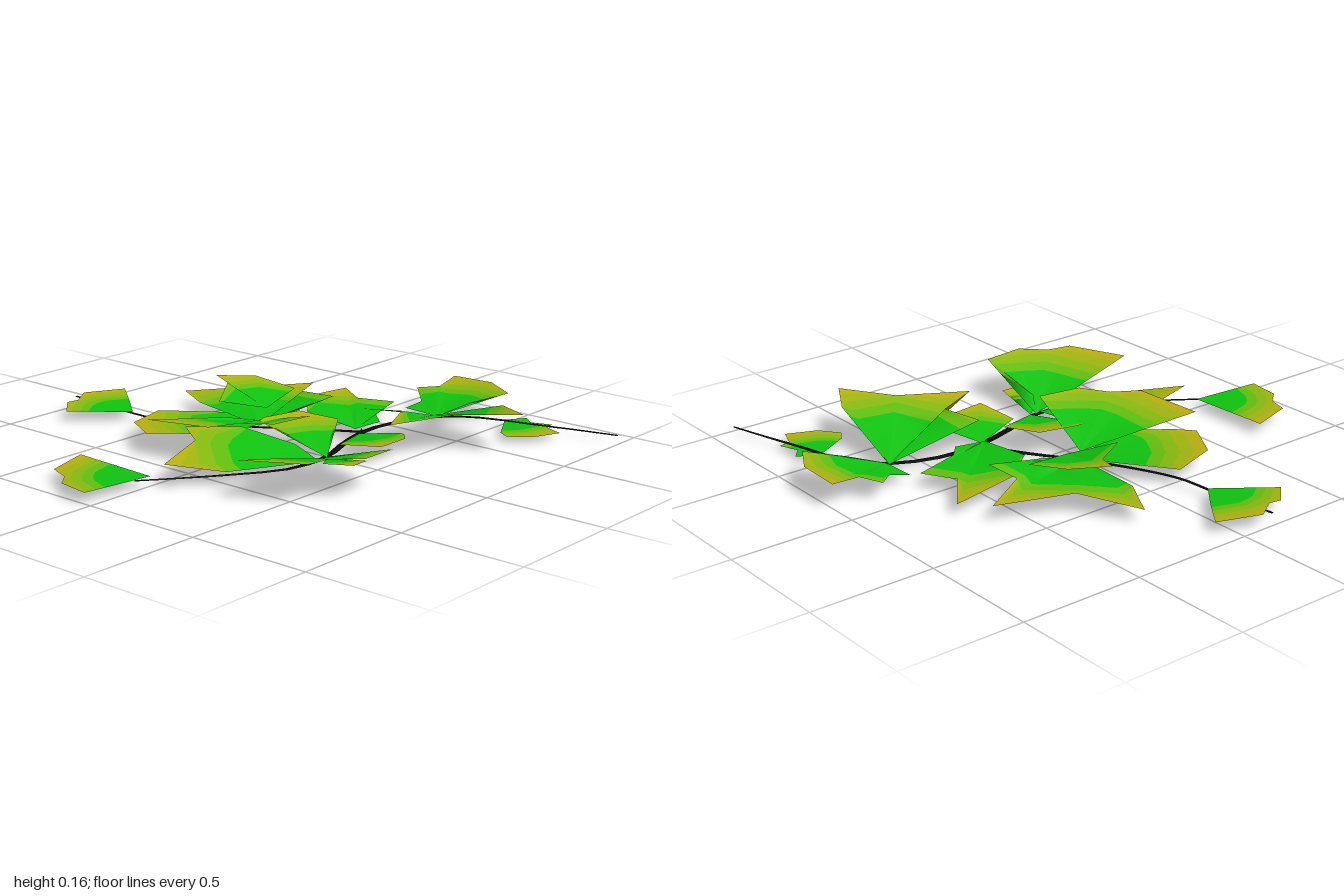
import * as THREE from 'three';

// Leaf colours run from green near the stem to yellow at the far tips
const BANDS = [0, 0.56, 0.67, 0.78, 0.89, 1];
const leafMaterials = BANDS.slice(1).map((_, i) => {
  const color = new THREE.Color(0x10c410).lerp(new THREE.Color(0xb8b010), i / (BANDS.length - 2));
  return new THREE.MeshStandardMaterial({ color, side: THREE.DoubleSide });
});
const vineMaterial = new THREE.MeshStandardMaterial({ color: 0x0c0c0c, side: THREE.DoubleSide });

function surface(positions, index, material, name) {
  const geometry = new THREE.BufferGeometry();
  geometry.setAttribute('position', new THREE.Float32BufferAttribute(positions, 3));
  geometry.setIndex(index);
  geometry.computeVertexNormals();
  const mesh = new THREE.Mesh(geometry, material);
  mesh.name = name;
  return mesh;
}

// A leaf fans out from its stem point to an outline of [x, y, z] corners;
// the colour bands lie at equal distances from the stem
function leaf(name, stem, outline) {
  const group = new THREE.Group();
  group.name = name;
  const base = new THREE.Vector3(...stem);
  let rim = outline.map((p) => new THREE.Vector3(...p));
  const reach = Math.max(...rim.map((p) => p.distanceTo(base)));
  let turn = 0;
  for (let i = 0; i + 1 < rim.length; i++) {
    const a = rim[i].clone().sub(base), b = rim[i + 1].clone().sub(base);
    turn += a.cross(b).y;
  }
  if (turn < 0) rim = rim.reverse();
  leafMaterials.forEach((material, k) => {
    const positions = [], index = [];
    rim.forEach((corner, i) => {
      for (const band of [BANDS[k], BANDS[k + 1]]) {
        const t = Math.min(1, band * reach / corner.distanceTo(base));
        positions.push(...base.clone().lerp(corner, t).toArray());
      }
      if (i + 1 < rim.length) {
        const a = 2 * i;
        index.push(a + 1, a + 3, a + 2);
        if (k > 0) index.push(a, a + 1, a + 2);
      }
    });
    group.add(surface(positions, index, material, 'leafBand'));
  });
  return group;
}

// A flat, tapering, three-sided vine swept along a curve
function vine(name, points, width) {
  const curve = new THREE.CatmullRomCurve3(points.map((p) => new THREE.Vector3(...p)));
  const steps = 24, positions = [], index = [];
  for (let i = 0; i <= steps; i++) {
    const u = i / steps, p = curve.getPointAt(u), t = curve.getTangentAt(u);
    const side = new THREE.Vector3(-t.z, 0, t.x).normalize().multiplyScalar(width(u));
    positions.push(p.x + side.x, p.y, p.z + side.z, p.x - side.x, p.y, p.z - side.z, p.x, p.y - 0.004, p.z);
    if (i < steps) {
      for (let j = 0; j < 3; j++) {
        const a = 3 * i + j, b = 3 * i + (j + 1) % 3;
        index.push(a, b, a + 3, b, b + 3, a + 3);
      }
    }
  }
  return surface(positions, index, vineMaterial, name);
}

export function createModel() {
  const model = new THREE.Group();
  model.name = 'creepingVine';

  // Vines and the little stem foot
  model.add(vine('mainVine', [
    [0.98, 0.027, -0.91], [0.79, 0.027, -0.86], [0.62, 0.027, -0.81], [0.48, 0.027, -0.775], [0.36, 0.027, -0.72],
    [0.27, 0.027, -0.62], [0.21, 0.027, -0.46], [0.2, 0.028, -0.3], [0.25, 0.028, -0.1], [0.31, 0.028, 0.08],
    [0.3, 0.028, 0.28], [0.2, 0.028, 0.45], [0.06, 0.03, 0.65], [-0.02, 0.032, 0.76]],
    (u) => 0.004 + 0.012 * Math.sin(Math.PI * u)));
  model.add(vine('sideVine', [
    [0.2, 0.028, -0.28], [0, 0.028, -0.16], [-0.15, 0.028, -0.06], [-0.35, 0.028, 0.05], [-0.53, 0.028, 0.12],
    [-0.7, 0.03, 0.132], [-0.99, 0.046, 0.145]],
    (u) => 0.006 + 0.009 * (1 - u)));
  const foot = new THREE.Mesh(new THREE.ConeGeometry(0.026, 0.035, 3), vineMaterial);
  foot.name = 'stemFoot';
  foot.position.set(0.18, 0.0175, -0.3);
  model.add(foot);

  // Leaves at the back
  model.add(leaf('backLeaf', [0.29, 0.03, -0.65], [
    [0.13, 0.035, -0.65], [0.15, 0.05, -0.73], [0.06, 0.075, -0.82], [0.14, 0.085, -0.87], [0.12, 0.1, -1],
    [0.31, 0.105, -1], [0.45, 0.1, -0.92], [0.36, 0.07, -0.78]]));
  model.add(leaf('backTipLeaf', [0.52, 0.026, -0.8], [
    [0.57, 0.026, -0.88], [0.64, 0.025, -0.82], [0.7, 0.025, -0.87], [0.71, 0.025, -0.82], [0.79, 0.025, -0.79],
    [0.74, 0.025, -0.67], [0.66, 0.025, -0.61], [0.61, 0.025, -0.64]]));
  model.add(leaf('backLeftLeaf', [0.27, 0.03, -0.65], [
    [0.63, 0.145, -0.62], [0.79, 0.155, -0.53], [0.59, 0.15, -0.39], [0.46, 0.14, -0.12], [0.37, 0.14, -0.31],
    [0.21, 0.13, -0.26]]));
  model.add(leaf('backMiddleLeaf', [0.19, 0.045, -0.25], [
    [0.02, 0.06, -0.25], [-0.06, 0.07, -0.25], [-0.2, 0.075, -0.42], [-0.22, 0.05, -0.69], [-0.06, 0.06, -0.57],
    [0.08, 0.055, -0.64], [0.14, 0.055, -0.44], [0.21, 0.05, -0.38]]));

  // Leaves along the side vine
  model.add(leaf('sideLowLeaf', [-0.15, 0.035, -0.06], [
    [-0.51, 0.055, -0.1], [-0.69, 0.052, -0.2], [-0.47, 0.08, -0.34], [-0.34, 0.065, -0.62], [-0.24, 0.085, -0.43],
    [-0.08, 0.09, -0.44], [-0.12, 0.065, -0.21]]));
  model.add(leaf('sideHighLeaf', [-0.18, 0.085, -0.14], [
    [-0.29, 0.125, 0.02], [-0.41, 0.145, -0.16], [-0.5, 0.155, -0.19], [-0.4, 0.145, -0.32], [-0.22, 0.115, -0.36]]));
  model.add(leaf('sideFrontLeaf', [-0.15, 0.04, -0.05], [
    [-0.31, 0.065, -0.04], [-0.53, 0.065, 0.12], [-0.47, 0.07, 0.32], [-0.31, 0.075, 0.41], [-0.24, 0.075, 0.35],
    [-0.1, 0.065, 0.2]]));
  model.add(leaf('sideTipLeaf', [-0.67, 0.034, 0.13], [
    [-0.79, 0.04, 0.03], [-0.92, 0.047, -0.07], [-0.99, 0.052, 0.1], [-0.93, 0.049, 0.19], [-0.94, 0.049, 0.24],
    [-0.85, 0.044, 0.33]]));

  // Leaves in the middle
  model.add(leaf('centreLeaf', [-0.15, 0.06, -0.05], [
    [0.2, 0.16, 0.03], [0.17, 0.16, 0.21], [0.06, 0.158, 0.28], [0, 0.155, 0.39], [-0.28, 0.14, 0.43],
    [-0.2, 0.09, 0.08]]));
  model.add(leaf('centreSmallLeaf', [0.32, 0.03, 0.08], [
    [0.24, 0.06, -0.03], [0.16, 0.095, -0.18], [0, 0.11, -0.13], [-0.04, 0.11, 0.03], [-0.03, 0.105, 0.07],
    [0.12, 0.075, 0.06]]));
  model.add(leaf('centreLeftLeaf', [0.21, 0.03, -0.25], [
    [0.37, 0.05, -0.31], [0.41, 0.058, -0.28], [0.46, 0.065, -0.22], [0.47, 0.07, -0.06], [0.29, 0.05, -0.03]]));

  // Leaves at the front
  model.add(leaf('frontLeftLeaf', [0.31, 0.03, 0.1], [
    [0.4, 0.07, 0.16], [0.68, 0.15, 0.14], [0.69, 0.155, 0.31], [0.6, 0.155, 0.4], [0.58, 0.155, 0.5],
    [0.35, 0.15, 0.61], [0.32, 0.08, 0.3]]));
  model.add(leaf('frontLeftLowLeaf', [0.32, 0.03, 0.08], [
    [0.44, 0.05, 0.14], [0.53, 0.065, 0.1], [0.53, 0.065, 0.18], [0.4, 0.05, 0.2]]));
  model.add(leaf('frontLeaf', [0.32, 0.03, 0.13], [
    [0.31, 0.035, 0.2], [0.21, 0.055, 0.52], [0.05, 0.088, 0.68], [-0.05, 0.1, 0.41], [-0.17, 0.115, 0.34],
    [-0.04, 0.1, 0.16], [0.18, 0.06, 0.1]]));
  model.add(leaf('frontTipLeaf', [0, 0.038, 0.7], [
    [-0.03, 0.042, 1], [-0.17, 0.043, 0.98], [-0.22, 0.043, 0.92], [-0.31, 0.045, 0.89], [-0.37, 0.046, 0.7]]));

  return model;
}
